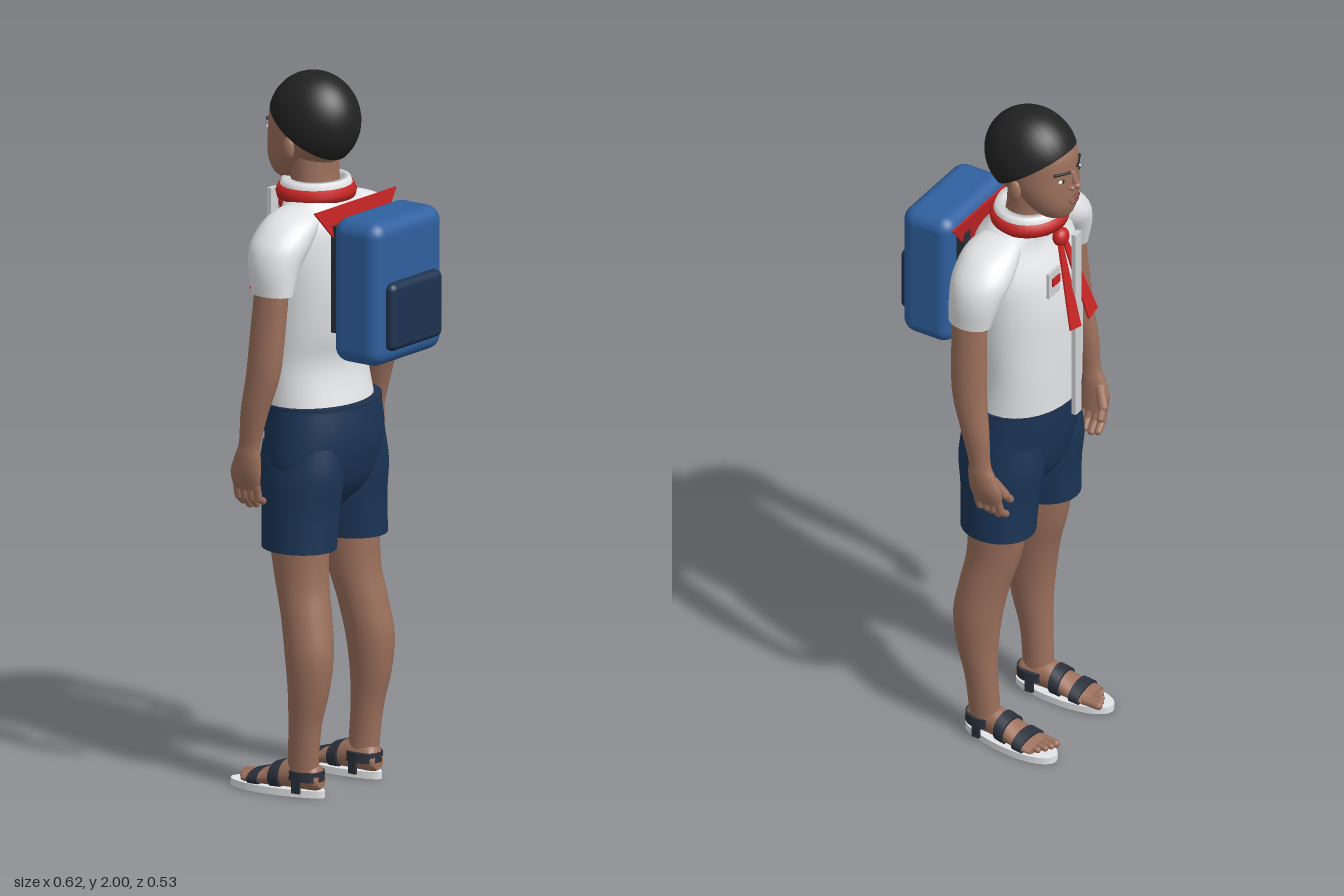
import * as THREE from 'three';
import { RoundedBoxGeometry } from 'three/addons/geometries/RoundedBoxGeometry.js';

const mat = (name, color, side = THREE.FrontSide) => {
  const m = new THREE.MeshStandardMaterial({ color, side });
  m.name = name;
  return m;
};

// Smooth closed body through horizontal ellipses [y, cx, cz, rx, rz], listed upwards
function loft(rings, { steps = 5, sides = 28 } = {}) {
  const fine = [];
  for (let i = 0; i < rings.length - 1; i++) {
    const a = rings[Math.max(i - 1, 0)], b = rings[i], c = rings[i + 1];
    const d = rings[Math.min(i + 2, rings.length - 1)];
    for (let k = 0; k < steps; k++) {
      const t = k / steps;
      fine.push(b.map((v, j) => v + 0.5 * t * (c[j] - a[j] + t * (2 * a[j] - 5 * v + 4 * c[j] - d[j]
        + t * (3 * (v - c[j]) + d[j] - a[j])))));
    }
  }
  fine.push(rings[rings.length - 1]);
  const pos = [], index = [];
  const addRing = ([y, cx, cz, rx, rz]) => {
    for (let j = 0; j < sides; j++) {
      const a = (j / sides) * Math.PI * 2;
      pos.push(cx + rx * Math.cos(a), y, cz + rz * Math.sin(a));
    }
  };
  fine.forEach(addRing);
  for (let i = 0; i < fine.length - 1; i++) {
    for (let j = 0; j < sides; j++) {
      const p = i * sides + j, q = i * sides + (j + 1) % sides;
      index.push(p, p + sides, q, q, p + sides, q + sides);
    }
  }
  // end caps with their own vertices, so the rims stay sharp
  [fine[0], fine[fine.length - 1]].forEach((r, end) => {
    const base = pos.length / 3;
    addRing(r);
    pos.push(r[1], r[0], r[2]);
    for (let j = 0; j < sides; j++) {
      const p = base + j, q = base + (j + 1) % sides;
      index.push(base + sides, ...(end ? [q, p] : [p, q]));
    }
  });
  const g = new THREE.BufferGeometry();
  g.setAttribute('position', new THREE.Float32BufferAttribute(pos, 3));
  g.setIndex(index);
  g.computeVertexNormals();
  return g;
}

export function createModel() {
  const model = new THREE.Group();
  const skin = mat('skin', 0x9c705c), hairMat = mat('hair black', 0x222222, THREE.DoubleSide);
  const white = mat('shirt white', 0xe6e7e9), red = mat('scarf red', 0xc42424, THREE.DoubleSide);
  const blue = mat('pack blue', 0x2f609f), navy = mat('shorts navy', 0x1b3556);
  const pocketNavy = mat('pocket navy', 0x1e3350), strapMat = mat('strap charcoal', 0x2a303b);
  const lip = mat('lip brown', 0x7d4a42), grey = mat('placket grey', 0xd2d3d5);

  const add = (name, geo, material, parent = model) => {
    const m = new THREE.Mesh(geo, material);
    m.name = name;
    parent.add(m);
    return m;
  };
  const ball = (name, material, [x, y, z], [a, b, c], parent = model) =>
    add(name, new THREE.SphereGeometry(1, 20, 14).scale(a, b, c).translate(x, y, z), material, parent);
  const limb = (name, material, from, to, r, parent = model) => {
    const a = new THREE.Vector3(...from), b = new THREE.Vector3(...to), d = b.clone().sub(a);
    const m = add(name, new THREE.CapsuleGeometry(r, d.length(), 5, 10), material, parent);
    m.position.copy(a).add(b).multiplyScalar(0.5);
    m.quaternion.setFromUnitVectors(new THREE.Vector3(0, 1, 0), d.normalize());
  };
  const plate = (name, points, depth, material) => {
    const shape = new THREE.Shape(points.map(p => new THREE.Vector2(...p)));
    return add(name, new THREE.ExtrudeGeometry(shape, { depth, bevelEnabled: false }), material);
  };
  const mirrorX = (rings, s) => rings.map(([y, cx, ...rest]) => [y, cx * s, ...rest]);

  // Torso and neck
  add('shirt', loft([
    [1.085, 0, -0.077, 0.175, 0.137], [1.2, 0, -0.09, 0.172, 0.125], [1.3, 0, -0.08, 0.177, 0.135],
    [1.42, 0, -0.072, 0.185, 0.139], [1.52, 0, -0.065, 0.19, 0.127], [1.6, 0, -0.054, 0.175, 0.104],
    [1.64, 0, -0.065, 0.135, 0.09], [1.675, 0, -0.08, 0.085, 0.085]]), white);
  add('neck', loft([[1.62, 0, -0.08, 0.08, 0.075], [1.7, 0, -0.088, 0.07, 0.065],
    [1.79, 0, -0.095, 0.07, 0.07]]), skin);
  const collar = (name, r, y, h, material) => {
    const pts = [[r - 0.025, -h], [r, -h], [r + 0.004, 0], [r - 0.004, h], [r - 0.025, h], [r - 0.025, -h]];
    add(name, new THREE.LatheGeometry(pts.map(p => new THREE.Vector2(...p)), 36)
      .scale(1, 1, 0.92).translate(0, y, -0.085), material);
  };
  collar('shirtCollar', 0.102, 1.685, 0.02, white);
  collar('scarfBand', 0.113, 1.67, 0.018, red);

  // Neck scarf: back triangle, knot and two tails
  const back = plate('scarfBack', [[-0.185, 0], [0, -0.215], [0.185, 0]], 0.005, red);
  back.position.set(0, 1.657, 0.045);
  back.rotation.x = -0.16;
  ball('scarfKnot', red, [0, 1.62, -0.185], [0.027, 0.027, 0.022]);
  for (const s of [-1, 1]) {
    const tail = plate('scarfTail', [[s * 0.002, 0], [s * 0.018, 0], [s * 0.068, -0.25], [s * 0.02, -0.26]], 0.006, red);
    tail.position.set(0, 1.615, -0.19);
    tail.rotation.x = 0.29;
  }

  // Shirt front details
  add('placket', new THREE.BoxGeometry(0.03, 0.59, 0.014).translate(0, 1.355, -0.235), grey);
  add('chestPocket', new THREE.BoxGeometry(0.056, 0.08, 0.008).translate(0.093, 1.535, -0.219), grey);
  add('chestBadge', new THREE.BoxGeometry(0.036, 0.025, 0.004).translate(0.087, 1.54, -0.225), red);

  // Shorts
  add('shortsHips', loft([
    [0.79, 0, -0.06, 0.06, 0.05], [0.85, 0, -0.057, 0.16, 0.105], [0.92, 0, -0.056, 0.197, 0.132],
    [1.0, 0, -0.057, 0.193, 0.146], [1.09, 0, -0.065, 0.182, 0.148]]), navy);
  add('waistLine', loft([[1.082, 0, -0.065, 0.184, 0.15], [1.092, 0, -0.065, 0.184, 0.15]], { steps: 1 }), pocketNavy);

  for (const s of [-1, 1]) {
    // Legs
    add('shortsLeg', loft(mirrorX([
      [0.69, 0.115, -0.056, 0.095, 0.107], [0.8, 0.106, -0.057, 0.1, 0.112],
      [0.9, 0.1, -0.058, 0.1, 0.125], [0.98, 0.095, -0.058, 0.09, 0.12]], s)), navy);
    add('leg', loft(mirrorX([
      [0.04, 0.133, -0.027, 0.037, 0.046], [0.1, 0.137, -0.025, 0.036, 0.046],
      [0.2, 0.14, -0.017, 0.042, 0.048], [0.3, 0.14, -0.005, 0.053, 0.06],
      [0.4, 0.137, -0.005, 0.063, 0.07], [0.5, 0.127, -0.022, 0.066, 0.072],
      [0.6, 0.117, -0.045, 0.067, 0.078], [0.74, 0.115, -0.06, 0.072, 0.09]], s)), skin);

    // Foot and sandal, slightly turned out
    const foot = new THREE.Group();
    foot.name = 'foot';
    foot.position.x = s * 0.13;
    foot.rotation.y = -s * 0.06;
    model.add(foot);
    const along = (name, rings, material, steps = 4) =>
      add(name, loft(rings, { steps }).rotateX(-Math.PI / 2), material, foot);
    along('footBody', [
      [-0.03, 0, 0.045, 0.02, 0.02], [-0.01, 0, 0.055, 0.034, 0.038], [0.06, 0, 0.058, 0.038, 0.042],
      [0.12, 0, 0.044, 0.044, 0.03], [0.17, 0, 0.034, 0.05, 0.018], [0.205, 0, 0.03, 0.046, 0.012]], skin);
    for (let i = 0; i < 5; i++) {
      const x = -s * (0.036 - i * 0.018), tip = 0.235 - i * i * 0.0024;
      limb('toe', skin, [x, 0.032, -0.19], [x, 0.03, -tip], i ? 0.009 : 0.012, foot);
    }
    add('sole', loft([[0, 0, 0, 1, 1], [0.02, 0, 0, 1, 1]], { steps: 1 }), white, foot);
    const sole = foot.children[foot.children.length - 1].geometry, p = sole.attributes.position;
    for (let i = 0; i < p.count; i++) { // egg outline, wider at the toes
      const z = p.getZ(i);
      p.setXYZ(i, p.getX(i) * (0.05 - 0.011 * z), p.getY(i), -0.111 + z * 0.151);
    }
    sole.computeVertexNormals();
    along('instepStrap', [[0.085, 0, 0.052, 0.049, 0.042], [0.115, 0, 0.046, 0.051, 0.038]], strapMat, 1);
    along('toeStrap', [[0.15, 0, 0.037, 0.054, 0.028], [0.18, 0, 0.033, 0.056, 0.023]], strapMat, 1);
    add('heelStrap', loft([[0.045, 0, -0.02, 0.048, 0.053], [0.072, 0, -0.02, 0.047, 0.052]], { steps: 1 }), strapMat, foot);
    for (const side of [-1, 1])
      add('strapPost', new THREE.BoxGeometry(0.008, 0.045, 0.025).translate(side * 0.044, 0.035, -0.025), strapMat, foot);

    // Arms
    add('sleeve', loft(mirrorX([
      [1.43, 0.247, -0.048, 0.043, 0.063], [1.5, 0.23, -0.055, 0.063, 0.075],
      [1.56, 0.195, -0.058, 0.083, 0.085], [1.61, 0.15, -0.057, 0.082, 0.078],
      [1.635, 0.12, -0.06, 0.062, 0.058], [1.65, 0.09, -0.065, 0.03, 0.03]], s)), white);
    add('arm', loft(mirrorX([
      [0.875, 0.267, -0.12, 0.016, 0.042], [0.92, 0.276, -0.117, 0.022, 0.049],
      [0.97, 0.28, -0.107, 0.023, 0.041], [1.01, 0.28, -0.1, 0.022, 0.033],
      [1.1, 0.278, -0.085, 0.03, 0.042], [1.2, 0.27, -0.063, 0.036, 0.051],
      [1.3, 0.262, -0.055, 0.037, 0.053], [1.46, 0.247, -0.048, 0.036, 0.052]], s)), skin);
    for (let i = 0; i < 4; i++) {
      const z = -0.086 - i * 0.022, drop = [0.015, 0.004, 0, 0.008][i];
      limb('finger', skin, [s * 0.268, 0.885, z], [s * 0.258, 0.85, z - 0.002], 0.0115);
      limb('fingertip', skin, [s * 0.258, 0.85, z - 0.002], [s * 0.235, 0.823 + drop, z - 0.004], 0.0105);
    }
    limb('thumb', skin, [s * 0.27, 0.95, -0.14], [s * 0.25, 0.905, -0.163], 0.014);
    limb('thumbTip', skin, [s * 0.25, 0.905, -0.163], [s * 0.23, 0.88, -0.167], 0.011);

    // Paired face features
    ball('ear', skin, [s * 0.104, 1.8, -0.102], [0.011, 0.032, 0.019]);
    ball('eyeWhite', white, [s * 0.04, 1.835, -0.213], [0.015, 0.006, 0.006]);
    ball('iris', hairMat, [s * 0.04, 1.835, -0.217], [0.006, 0.006, 0.004]);
    limb('eyebrow', hairMat, [s * 0.02, 1.856, -0.225], [s * 0.062, 1.861, -0.205], 0.0045);
    ball('nostril', skin, [s * 0.012, 1.803, -0.228], [0.01, 0.008, 0.01]);

    // Shoulder strap behind the pack
    add('packStrap', new THREE.BoxGeometry(0.03, 0.3, 0.03).translate(s * 0.1, 1.46, 0.068), strapMat);
  }

  // Head and cropped hair
  const cy = 1.866, cz = -0.09;
  ball('skull', skin, [0, cy, cz], [0.107, 0.13, 0.13]);
  add('face', loft([
    [1.695, 0, -0.168, 0.03, 0.034], [1.71, 0, -0.163, 0.052, 0.054], [1.745, 0, -0.152, 0.076, 0.076],
    [1.79, 0, -0.133, 0.093, 0.096], [1.84, 0, -0.113, 0.1, 0.114], [1.9, 0, -0.1, 0.1, 0.121],
    [1.94, 0, -0.095, 0.08, 0.1]]), skin);
  add('hair', new THREE.SphereGeometry(0.134, 36, 22, 0, Math.PI * 2, 0, 1.82)
    .rotateX(0.61).scale(0.845, 1, 1).translate(0, cy, cz), hairMat);
  limb('noseBridge', skin, [0, 1.845, -0.222], [0, 1.815, -0.234], 0.009);
  ball('noseTip', skin, [0, 1.808, -0.236], [0.012, 0.01, 0.013]);
  ball('upperLip', lip, [0, 1.767, -0.228], [0.026, 0.006, 0.01]);
  ball('lowerLip', lip, [0, 1.757, -0.227], [0.022, 0.007, 0.01]);

  // Backpack
  add('backpack', new RoundedBoxGeometry(0.31, 0.405, 0.162, 4, 0.042).translate(0, 1.4425, 0.159), blue);
  add('backpackPocket', new RoundedBoxGeometry(0.23, 0.19, 0.06, 4, 0.02).translate(0, 1.38, 0.235), pocketNavy);
  return model;
}
